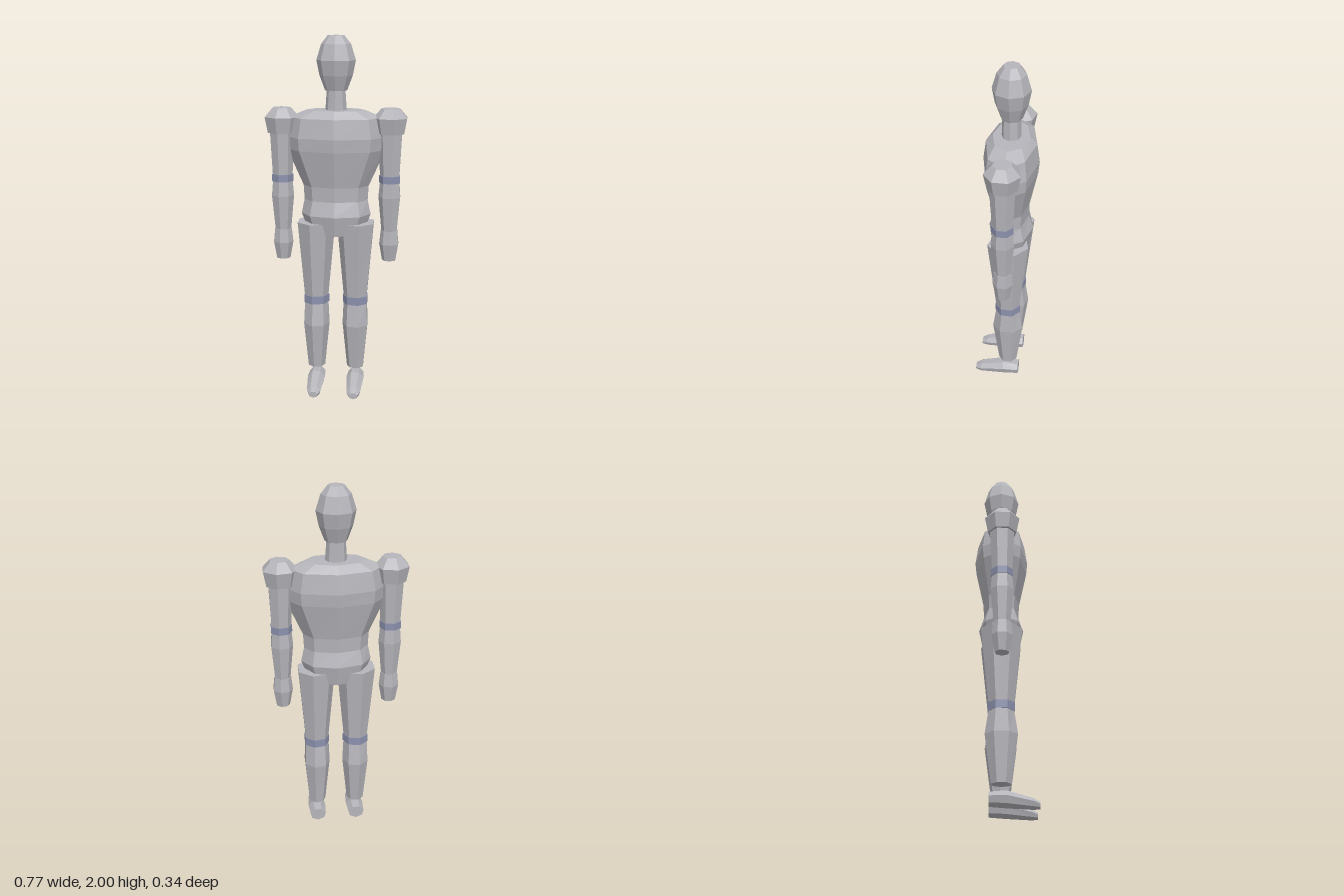
import * as THREE from 'three';

const grey = new THREE.MeshStandardMaterial({ color: 0xb6b5bb, flatShading: true });
grey.name = 'body grey';
const blue = new THREE.MeshStandardMaterial({ color: 0x8c92ae, flatShading: true });
blue.name = 'joint blue';

const CZ = -0.021; // depth of the body's axis

// Capped, faceted solid from rings [y, radiusX, radiusZ, centreZ], listed bottom up
function loft(rings, sides, phase = 0) {
  const pos = [];
  const point = ([y, rx, rz = rx, cz = 0], j) => {
    const t = phase + (j / sides) * Math.PI * 2;
    return [rx * Math.cos(t), y, cz + rz * Math.sin(t)];
  };
  const centre = ([y, , , cz = 0]) => [0, y, cz];
  const first = rings[0], last = rings[rings.length - 1];
  for (let j = 0; j < sides; j++) {
    for (let i = 0; i < rings.length - 1; i++) {
      const a = point(rings[i], j), b = point(rings[i], j + 1);
      const c = point(rings[i + 1], j + 1), d = point(rings[i + 1], j);
      pos.push(...a, ...d, ...b, ...b, ...d, ...c);
    }
    pos.push(...centre(first), ...point(first, j), ...point(first, j + 1));
    pos.push(...centre(last), ...point(last, j + 1), ...point(last, j));
  }
  const g = new THREE.BufferGeometry();
  g.setAttribute('position', new THREE.Float32BufferAttribute(pos, 3));
  g.computeVertexNormals();
  return g;
}

export function createModel() {
  const model = new THREE.Group();
  model.name = 'mannequin';

  function add(parent, name, geometry, material = grey, x = 0, z = CZ) {
    const mesh = new THREE.Mesh(geometry, material);
    mesh.name = name;
    mesh.position.set(x, 0, z);
    parent.add(mesh);
    return mesh;
  }

  // Head, neck and torso
  add(model, 'head', loft([
    [1.71, 0.06, 0.057], [1.79, 0.09, 0.086], [1.87, 0.106, 0.101],
    [1.955, 0.08, 0.076], [2.0, 0.044, 0.042],
  ], 8));
  add(model, 'neck', loft([[1.59, 0.059, 0.052], [1.72, 0.05, 0.048]], 8));
  add(model, 'torso', loft([
    [0.92, 0.15, 0.1], [1.03, 0.192, 0.122], [1.11, 0.175, 0.096],
    [1.19, 0.18, 0.1], [1.39, 0.27, 0.142], [1.46, 0.276, 0.149],
    [1.565, 0.255, 0.134], [1.605, 0.162, 0.098],
  ], 8));

  for (const side of [1, -1]) {
    const label = side > 0 ? 'left' : 'right';
    const phase = side > 0 ? Math.PI / 7 : 0; // flat facet faces outward

    // Arm
    const arm = new THREE.Group();
    arm.name = label + 'Arm';
    arm.position.x = side * 0.297;
    model.add(arm);
    add(arm, 'shoulder', loft([[1.48, 0.08], [1.565, 0.097], [1.615, 0.052]], 7, phase));
    add(arm, 'upperArm', loft([[1.25, 0.056], [1.5, 0.069]], 7, phase));
    add(arm, 'elbow', loft([[1.21, 0.06], [1.25, 0.06]], 7, phase), blue);
    add(arm, 'forearm', loft([[0.94, 0.045], [1.13, 0.063], [1.21, 0.056]], 7, phase));
    add(arm, 'hand', loft([[0.77, 0.039], [0.865, 0.056], [0.94, 0.048]], 7, phase));

    // Leg
    const leg = new THREE.Group();
    leg.name = label + 'Leg';
    leg.position.x = side * 0.112;
    model.add(leg);
    add(leg, 'thigh', loft([[0.56, 0.069], [0.985, 0.108, 0.115]], 7, phase));
    add(leg, 'knee', loft([[0.515, 0.073], [0.56, 0.073]], 7, phase), blue);
    add(leg, 'calf', loft([[0.13, 0.049, 0.053], [0.39, 0.075, 0.088], [0.515, 0.069]], 7, phase));

    // Foot: rings run from heel to toe, then tip forward
    const foot = loft([
      [-0.083, 0.046, 0.038, -0.054], [0.005, 0.051, 0.045, -0.054],
      [0.14, 0.04, 0.029, -0.031], [0.173, 0.025, 0.018, -0.023],
    ], 7, Math.PI / 2);
    foot.rotateX(Math.PI / 2);
    add(leg, 'foot', foot, grey, 0, 0);
  }

  return model;
}
